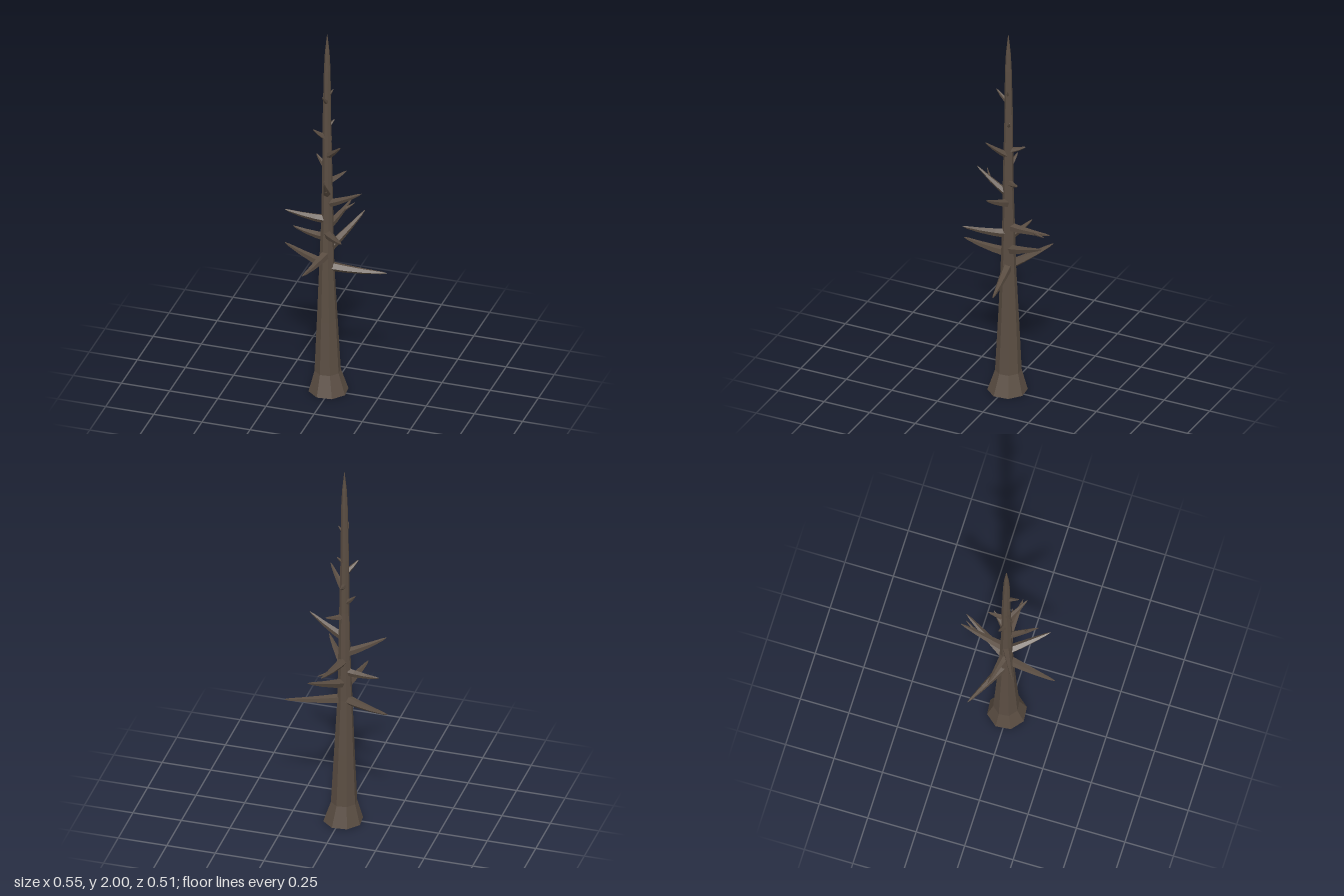
import * as THREE from 'three';

const bark = new THREE.MeshStandardMaterial({ color: 0x5a4d42, flatShading: true });
const V = (x, y, z) => new THREE.Vector3(x, y, z);

// Faceted tapering tube through rings { c: centre, r: radius }, closed at both ends
function loft(name, rings, sides, dir, turn = 0) {
  const q = new THREE.Quaternion().setFromUnitVectors(V(0, 1, 0), dir);
  const pos = [], index = [];
  for (const { c, r } of rings) {
    for (let j = 0; j < sides; j++) {
      const a = turn + (j / sides) * Math.PI * 2;
      const p = V(Math.cos(a) * r, 0, Math.sin(a) * r).applyQuaternion(q).add(c);
      pos.push(p.x, p.y, p.z);
    }
  }
  for (let i = 0; i < rings.length - 1; i++) {
    for (let j = 0; j < sides; j++) {
      const a = i * sides + j, b = i * sides + ((j + 1) % sides);
      index.push(a, a + sides, b, b, a + sides, b + sides);
    }
  }
  const last = (rings.length - 1) * sides;
  for (let j = 1; j < sides - 1; j++) {
    index.push(0, j, j + 1, last, last + j + 1, last + j);
  }
  const geo = new THREE.BufferGeometry();
  geo.setAttribute('position', new THREE.Float32BufferAttribute(pos, 3));
  geo.setIndex(index);
  const flat = geo.toNonIndexed();
  flat.computeVertexNormals();
  const mesh = new THREE.Mesh(flat, bark);
  mesh.name = name;
  return mesh;
}

// Trunk rings: x, y, z, radius
const TRUNK = [
  [-0.01, 0, -0.008, 0.1], [-0.015, 0.11, -0.01, 0.066], [-0.017, 0.4, -0.01, 0.052],
  [-0.019, 0.7, -0.008, 0.038], [-0.017, 0.95, -0.01, 0.031], [-0.016, 1.2, -0.008, 0.026],
  [-0.019, 1.5, -0.01, 0.022], [-0.017, 1.8, -0.009, 0.017], [-0.017, 1.9, -0.009, 0.012],
  [-0.017, 2, -0.009, 0.0015],
];

// Spiky branch that bends slightly and narrows to a blunt point
function branch(name, start, tip, r, sag = 0.012) {
  const mid = start.clone().lerp(tip, 0.5);
  mid.y -= sag;
  const curve = new THREE.QuadraticBezierCurve3(start, mid, tip);
  const rings = [[0, 1], [0.3, 0.82], [0.62, 0.56], [0.9, 0.28], [1, 0.06]]
    .map(([t, k]) => ({ c: curve.getPoint(t), r: r * k }));
  return loft(name, rings, 5, tip.clone().sub(start).normalize(), start.y * 9);
}

// Branches: root height, then tip x, y, z and root radius
const BRANCHES = [
  [0.7, 0.275, 0.675, -0.066, 0.026],
  [0.7, -0.275, 0.72, -0.13, 0.026],
  [0.77, -0.06, 0.77, 0.255, 0.026],
  [0.79, 0.1, 0.905, -0.25, 0.026],
  [0.92, 0.028, 0.95, -0.257, 0.024],
  [0.88, 0.117, 0.94, 0.177, 0.025],
  [0.86, -0.207, 0.87, -0.047, 0.023],
  [0.96, -0.207, 1.03, 0.08, 0.024],
  [1.05, 0.17, 1.15, 0.02, 0.023],
  [1.1, 0.018, 1.24, 0.145, 0.02],
  [1.17, 0.055, 1.2, -0.095, 0.018],
  [1.25, -0.08, 1.31, -0.03, 0.017],
  [1.32, 0.078, 1.42, 0.07, 0.019],
  [1.35, -0.025, 1.385, -0.1, 0.017],
  [1.42, -0.075, 1.48, 0.038, 0.017],
  [1.48, 0.015, 1.52, -0.03, 0.012],
  [1.62, -0.02, 1.68, 0.058, 0.014],
  [1.65, 0.012, 1.695, -0.018, 0.01],
];

export function createModel() {
  const model = new THREE.Group();
  model.name = 'deadTree';

  model.add(loft('trunk', TRUNK.map(([x, y, z, r]) => ({ c: V(x, y, z), r })), 8, V(0, 1, 0), 0.3));

  const branches = new THREE.Group();
  branches.name = 'branches';
  BRANCHES.forEach(([y, tx, ty, tz, r], i) => {
    branches.add(branch(`branch${i + 1}`, V(-0.017, y, -0.009), V(tx, ty, tz), r, 0.012 * Math.min(1, r / 0.024)));
  });
  model.add(branches);

  // Small side twigs forking from longer branches
  const twigs = new THREE.Group();
  twigs.name = 'twigs';
  twigs.add(branch('backTwig', V(0.015, 0.933, -0.17), V(0.053, 0.945, -0.238), 0.009, 0));
  twigs.add(branch('frontTwig', V(0.004, 1.16, 0.075), V(0.0, 1.235, 0.1), 0.008, 0));
  model.add(twigs);

  return model;
}
